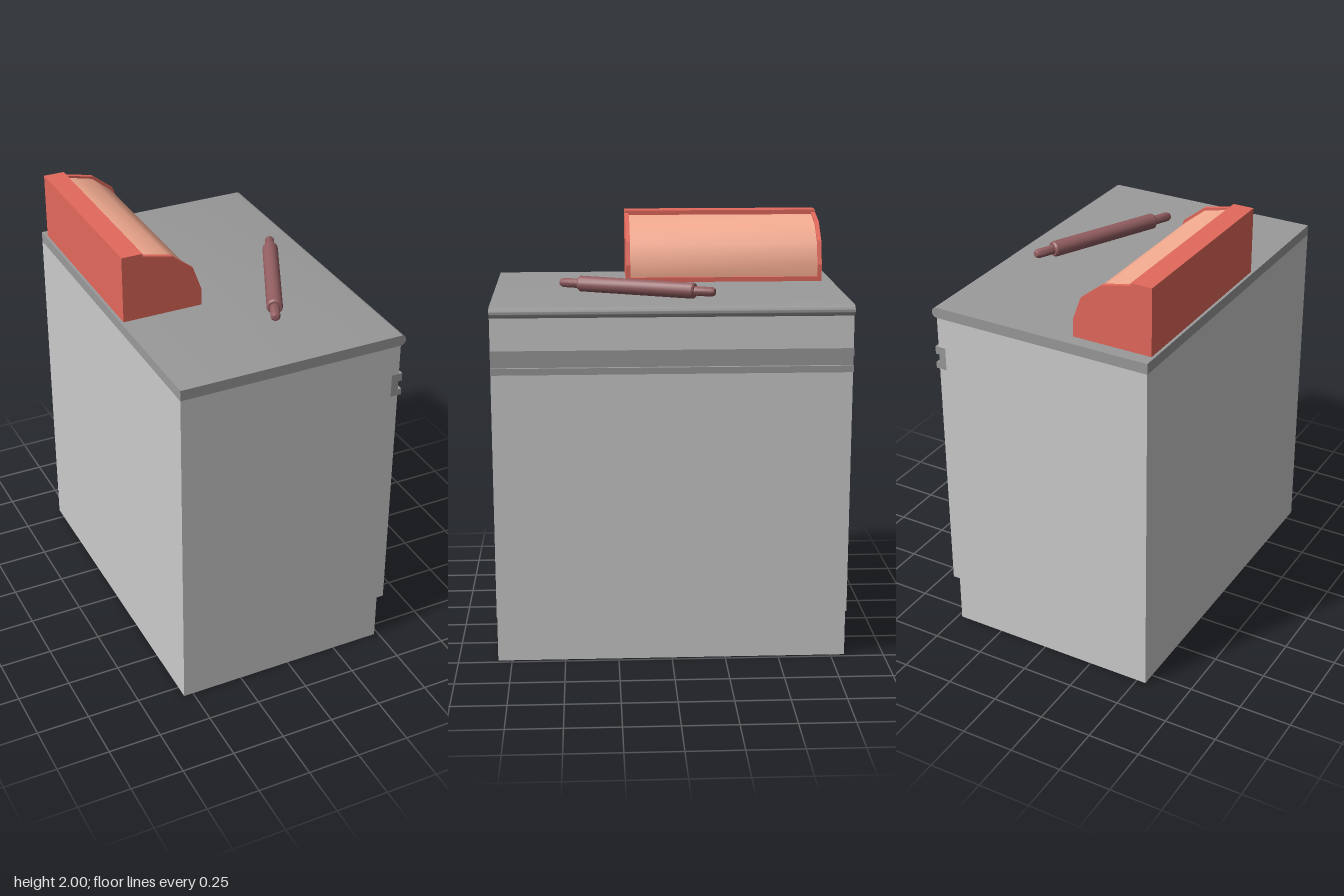
import * as THREE from 'three';
import { toCreasedNormals } from 'three/addons/utils/BufferGeometryUtils.js';

const paint = (color) => new THREE.MeshStandardMaterial({ color });
const bodyGrey = paint(0xcccccc);
const darkGrey = paint(0x9a9a9a);
const red = paint(0xe4695c);
const peach = paint(0xf6ad92);
const wood = paint(0x925e61);

const polygon = (points) => new THREE.Shape(points.map(([x, y]) => new THREE.Vector2(x, y)));

// Extrudes a side profile (x, y) from z0 to z1, smoothing only gentle bends.
function profileMesh(name, shape, z0, z1, material, crease = 0.2) {
  const geometry = new THREE.ExtrudeGeometry(shape, { depth: z1 - z0, bevelEnabled: false, curveSegments: 10 });
  geometry.translate(0, 0, z0);
  const mesh = new THREE.Mesh(toCreasedNormals(geometry, crease), material);
  mesh.name = name;
  return mesh;
}

const slab = (name, x0, x1, y0, y1, z0, z1, material) =>
  profileMesh(name, polygon([[x0, y0], [x1, y0], [x1, y1], [x0, y1]]), z0, z1, material);

function createCabinet() {
  const cabinet = new THREE.Group();
  cabinet.name = 'cabinet';
  const back = -0.545, half = 0.815, faceBack = 0.48, face = 0.515;

  // Counter with a half-round front nose
  const top = new THREE.Shape();
  top.moveTo(back, 1.63);
  top.lineTo(face, 1.63);
  top.absarc(face, 1.655, 0.025, -Math.PI / 2, Math.PI / 2, false);
  top.lineTo(back, 1.68);
  top.closePath();

  // Channel-shaped grip rail between drawer and door
  const rail = polygon([
    [faceBack, 1.375], [0.533, 1.375], [0.533, 1.405], [face, 1.405],
    [face, 1.447], [0.533, 1.447], [0.533, 1.485], [faceBack, 1.485],
  ]);

  cabinet.add(
    slab('carcass', back, faceBack, 0, 1.63, -half, half, bodyGrey),
    slab('door', faceBack, face, 0.23, 1.375, -half, half, bodyGrey),
    slab('drawerFront', faceBack, face, 1.485, 1.63, -half, half, bodyGrey),
    profileMesh('gripRail', rail, -half, half, darkGrey),
    profileMesh('countertop', top, -half, half, darkGrey, 0.7),
  );
  return cabinet;
}

function createBreadBox() {
  const box = new THREE.Group();
  box.name = 'breadBox';
  const z0 = -0.76, z1 = 0.19, wall = 0.02, base = 1.684;
  const x0 = -0.535, x1 = -0.155;

  // End panels with a faceted front curve
  const end = polygon([
    [x0, base], [x1, base], [x1, 1.765], [-0.195, 1.877],
    [-0.295, 1.957], [-0.435, 1.988], [-0.435, 2], [x0, 2],
  ]);
  box.add(profileMesh('endPanel', end, z0, z0 + wall, red));
  box.add(profileMesh('endPanel', end, z1 - wall, z1, red));

  // Back, top rail and floor between the end panels
  const a = z0 + wall, b = z1 - wall;
  box.add(slab('backPanel', x0, x0 + wall, base, 2, a, b, red));
  box.add(slab('topRail', x0 + wall, -0.435, 1.97, 2, a, b, red));
  box.add(slab('floor', x0 + wall, x1, base, 1.706, a, b, red));

  // Roll lid set slightly inside the end panels
  const lid = polygon([
    [-0.45, 1.706], [-0.167, 1.706], [-0.167, 1.763], [-0.205, 1.869],
    [-0.3, 1.946], [-0.435, 1.978], [-0.45, 1.978],
  ]);
  box.add(profileMesh('rollLid', lid, a, b, peach, 0.7));
  return box;
}

function createRollingPin() {
  // Handle, barrel, handle turned around one axis
  const half = [[0.037, 0], [0.037, 0.283], [0.031, 0.291], [0.022, 0.291], [0.022, 0.373], [0.015, 0.387], [0, 0.39]];
  const points = [
    ...half.slice(1).reverse().map(([r, y]) => new THREE.Vector2(r, -y)),
    ...half.slice(1).map(([r, y]) => new THREE.Vector2(r, y)),
  ];
  const pin = new THREE.Mesh(toCreasedNormals(new THREE.LatheGeometry(points, 16), 0.6), wood);
  pin.name = 'rollingPin';
  pin.quaternion.setFromUnitVectors(
    new THREE.Vector3(0, 1, 0),
    new THREE.Vector3(0.425, 0, -0.905).normalize(),
  );
  pin.position.set(0.223, 1.72, 0.152);
  return pin;
}

export function createModel() {
  const model = new THREE.Group();
  model.name = 'kitchenCounter';
  model.add(createCabinet(), createBreadBox(), createRollingPin());
  return model;
}
